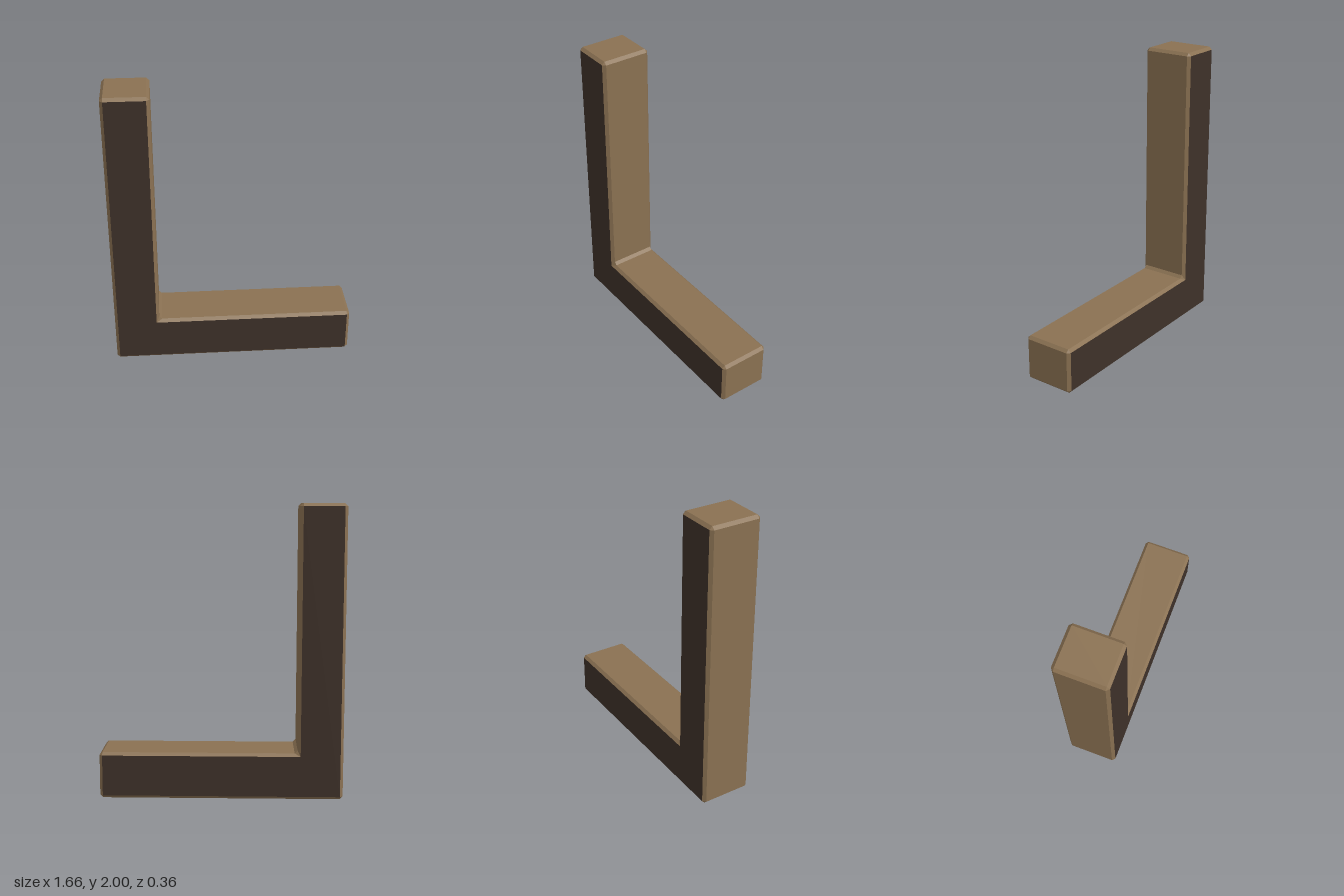
import * as THREE from 'three';

const DEPTH = 0.18, BEVEL = 0.02;

// L-shaped outline of the flat faces, counterclockwise from the front
const face = [[-0.81, 0.02], [0.81, 0.02], [0.81, 0.3], [-0.54, 0.3], [-0.54, 1.98], [-0.81, 1.98]];

// Outer outline: each face corner becomes a short chamfer of two points
const outer = [
  [-0.83, 0.02], [-0.81, 0], [0.81, 0], [0.83, 0.02],
  [0.83, 0.3], [0.81, 0.32], [-0.5, 0.32], [-0.52, 0.34],
  [-0.52, 1.98], [-0.54, 2], [-0.81, 2], [-0.83, 1.98],
];

// Band through four loops: back face edge, back rim, front rim, front face edge
function rimGeometry() {
  const inner = outer.map((_, i) => face[Math.floor(i / 2)]);
  const loop = (pts, z) => pts.map(([x, y]) => new THREE.Vector3(x, y, z));
  const loops = [
    loop(inner, -DEPTH), loop(outer, -DEPTH + BEVEL),
    loop(outer, DEPTH - BEVEL), loop(inner, DEPTH),
  ];
  const points = [];
  const triangle = (a, b, c) => {
    if (!a.equals(b) && !b.equals(c) && !c.equals(a)) points.push(a, b, c);
  };
  for (let r = 0; r < 3; r++) {
    for (let i = 0; i < outer.length; i++) {
      const j = (i + 1) % outer.length;
      const [a, b, c, d] = [loops[r][i], loops[r][j], loops[r + 1][j], loops[r + 1][i]];
      triangle(a, b, c);
      triangle(a, c, d);
    }
  }
  const geometry = new THREE.BufferGeometry().setFromPoints(points);
  geometry.computeVertexNormals();
  return geometry;
}

function faceGeometry(mirror) {
  const shape = new THREE.Shape(face.map(([x, y]) => new THREE.Vector2(x * mirror, y)));
  return new THREE.ShapeGeometry(shape).translate(0, 0, DEPTH);
}

export function createModel() {
  const group = new THREE.Group();
  group.name = 'angleBracket';
  const tan = new THREE.MeshStandardMaterial({ color: 0x8a7152, flatShading: true });
  const dark = new THREE.MeshStandardMaterial({ color: 0x3e3129, flatShading: true });

  const add = (name, geometry, material) => {
    const mesh = new THREE.Mesh(geometry, material);
    mesh.name = name;
    group.add(mesh);
    return mesh;
  };

  // Bevelled rim, then the two dark flat faces
  add('bevelledRim', rimGeometry(), tan);
  add('frontFace', faceGeometry(1), dark);
  add('backFace', faceGeometry(-1), dark).rotation.y = Math.PI;
  return group;
}
